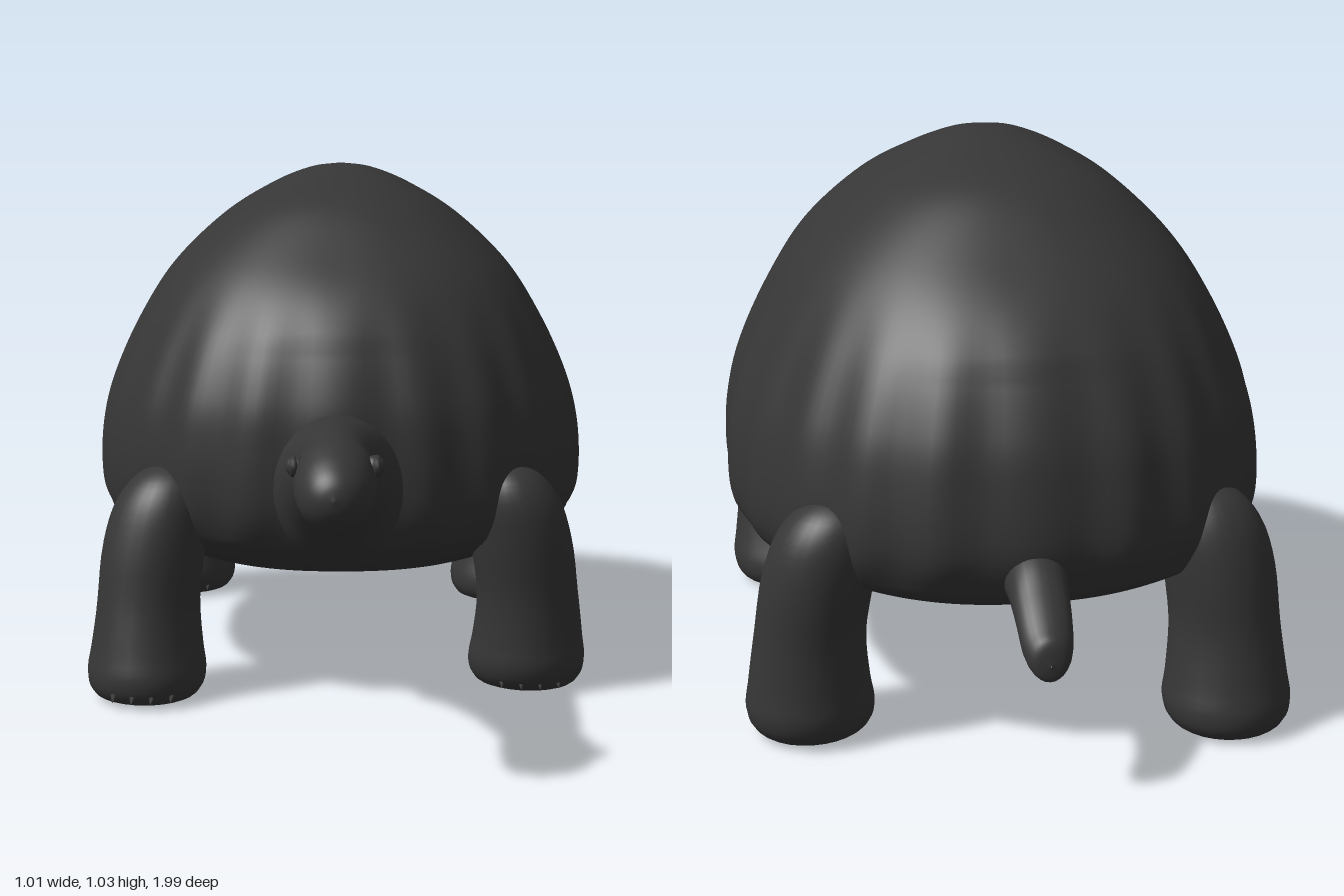
import * as THREE from 'three';

const skin = new THREE.MeshStandardMaterial({ color: 0x363636 });
skin.name = 'dark grey';

// Smooth tube through rows [x, y, z, ru, rv], listed in ascending order along the axis.
// Axis 'z': ru is the half width, rv the half height. Axis 'y': ru is the half depth, rv the half width.
function loft(rows, axis, { rings = 40, sides = 32, power = 2, shape = null } = {}) {
  const centre = new THREE.CatmullRomCurve3(rows.map(r => new THREE.Vector3(r[0], r[1], r[2])), false, 'catmullrom', 0.5);
  const radius = new THREE.CatmullRomCurve3(rows.map(r => new THREE.Vector3(r[3], r[4], 0)), false, 'catmullrom', 0.5);
  const pos = [], index = [];
  for (let i = 0; i <= rings; i++) {
    const c = centre.getPoint(i / rings), r = radius.getPoint(i / rings);
    for (let j = 0; j < sides; j++) {
      const a = j / sides * Math.PI * 2, ca = Math.cos(a), sa = Math.sin(a);
      const u = Math.max(r.x, 0.0005) * Math.sign(ca) * Math.abs(ca) ** (2 / power);
      const v = Math.max(r.y, 0.0005) * Math.sign(sa) * Math.abs(sa) ** (2 / power);
      const p = axis === 'z' ? new THREE.Vector3(u, v, 0) : new THREE.Vector3(v, 0, u);
      if (shape) shape(p, c, a);
      p.add(c);
      pos.push(p.x, p.y, p.z);
      if (i < rings) {
        const k = (j + 1) % sides, A = i * sides + j, B = i * sides + k;
        index.push(A, B, B + sides, A, B + sides, A + sides);
      }
    }
  }
  const g = new THREE.BufferGeometry();
  g.setAttribute('position', new THREE.Float32BufferAttribute(pos, 3));
  g.setIndex(index);
  g.computeVertexNormals();
  return g;
}

function add(parent, name, geometry) {
  const mesh = new THREE.Mesh(geometry, skin);
  mesh.name = name;
  parent.add(mesh);
  return mesh;
}

// Leg leaning from its foot up to the shoulder or hip, with four claws
function makeLeg(name, side, footZ, topZ) {
  const leg = new THREE.Group();
  leg.name = name;
  const profile = [ // y, x, radius
    [0.005, 0.375, 0.001], [0.008, 0.375, 0.08], [0.025, 0.375, 0.107], [0.06, 0.375, 0.116],
    [0.11, 0.375, 0.109], [0.2, 0.372, 0.1], [0.3, 0.36, 0.1], [0.38, 0.345, 0.092],
    [0.43, 0.333, 0.07], [0.455, 0.33, 0.035], [0.46, 0.33, 0.001],
  ];
  const rows = profile.map(([y, x, r]) => [side * x, y, footZ + (topZ - footZ) * y / 0.42, r * 1.04, r]);
  add(leg, name + 'Limb', loft(rows, 'y', {
    rings: 36, sides: 28,
    shape: (p, c, a) => p.multiplyScalar(1 + 0.012 * Math.sin(3 * a + c.y * 18)),
  }));
  for (let i = 0; i < 4; i++) {
    const dx = (i - 1.5) * 0.037;
    const claw = add(leg, 'claw', new THREE.ConeGeometry(0.01, 0.045, 8));
    claw.position.set(side * 0.375 + dx, 0.028, footZ + Math.sqrt(0.112 ** 2 - dx * dx));
    claw.rotation.set(Math.PI / 2 + 0.25, 0, 0);
  }
  return leg;
}

export function createModel() {
  const model = new THREE.Group();
  model.name = 'tortoise';

  // Domed shell with the belly closing it below; y, centre z, half length, half width
  const shellRows = [
    [0.22, -0.2, 0.001, 0.001], [0.226, -0.2, 0.32, 0.25], [0.255, -0.21, 0.48, 0.36],
    [0.3, -0.22, 0.575, 0.45], [0.335, -0.22, 0.605, 0.49], [0.4, -0.22, 0.628, 0.503],
    [0.5, -0.215, 0.628, 0.498], [0.6, -0.21, 0.612, 0.473], [0.72, -0.205, 0.56, 0.42],
    [0.83, -0.2, 0.468, 0.35], [0.93, -0.2, 0.33, 0.245], [0.99, -0.2, 0.2, 0.145],
    [1.02, -0.2, 0.09, 0.065], [1.028, -0.2, 0.001, 0.001],
  ].map(([y, z, rz, rx]) => [0, y, z, rz, rx]);
  add(model, 'shell', loft(shellRows, 'y', {
    rings: 104, sides: 160, power: 2.3,
    shape: (p, c, a) => {
      // rippled scutes round the flanks, low raised plates along the spine
      const flank = THREE.MathUtils.smoothstep(c.y, 0.28, 0.38) * (1 - THREE.MathUtils.smoothstep(c.y, 0.55, 0.85));
      p.multiplyScalar(1 + 0.009 * flank * Math.cos(22 * a));
      if (c.y > 0.7) p.y += 0.006 * Math.exp(-((p.x / 0.16) ** 2)) * Math.cos(p.z * 22);
    },
  }));

  // Neck and head in one tapering form; y, z, half width, half height
  add(model, 'neckAndHead', loft([
    [0.43, 0.25, 0.13, 0.13], [0.435, 0.4, 0.122, 0.143], [0.47, 0.5, 0.1, 0.115],
    [0.5, 0.6, 0.08, 0.092], [0.518, 0.7, 0.066, 0.077], [0.525, 0.77, 0.06, 0.063],
    [0.532, 0.83, 0.068, 0.068], [0.535, 0.885, 0.07, 0.075], [0.525, 0.94, 0.063, 0.067],
    [0.522, 0.975, 0.047, 0.048], [0.522, 0.993, 0.026, 0.026], [0.522, 1.0, 0.001, 0.001],
  ].map(([y, z, rx, ry]) => [0, y, z, rx, ry]), 'z', { rings: 66 }));

  // Eyes with a raised lid ring
  for (const side of [-1, 1]) {
    const eye = add(model, side > 0 ? 'leftEye' : 'rightEye', new THREE.SphereGeometry(0.018, 16, 12));
    eye.position.set(side * 0.064, 0.562, 0.892);
    const lid = add(model, side > 0 ? 'leftEyelid' : 'rightEyelid', new THREE.TorusGeometry(0.019, 0.006, 8, 20));
    lid.position.set(side * 0.068, 0.562, 0.892);
    lid.rotation.y = Math.PI / 2;
    lid.scale.y = 0.75;
  }

  // Short blunt tail, drooping backwards
  add(model, 'tail', loft([
    [0.262, -0.992, 0.001, 0.001], [0.266, -0.985, 0.028, 0.034], [0.28, -0.96, 0.042, 0.04],
    [0.318, -0.91, 0.048, 0.042], [0.345, -0.85, 0.052, 0.055], [0.36, -0.76, 0.06, 0.065],
  ].map(([y, z, rx, ry]) => [0, y, z, rx, ry]), 'z', { rings: 30, sides: 24 }));

  // Legs in mid-stride
  model.add(makeLeg('frontLeftLeg', 1, 0.165, 0.24));
  model.add(makeLeg('frontRightLeg', -1, 0.28, 0.25));
  model.add(makeLeg('backLeftLeg', 1, -0.61, -0.67));
  model.add(makeLeg('backRightLeg', -1, -0.69, -0.67));
  return model;
}
